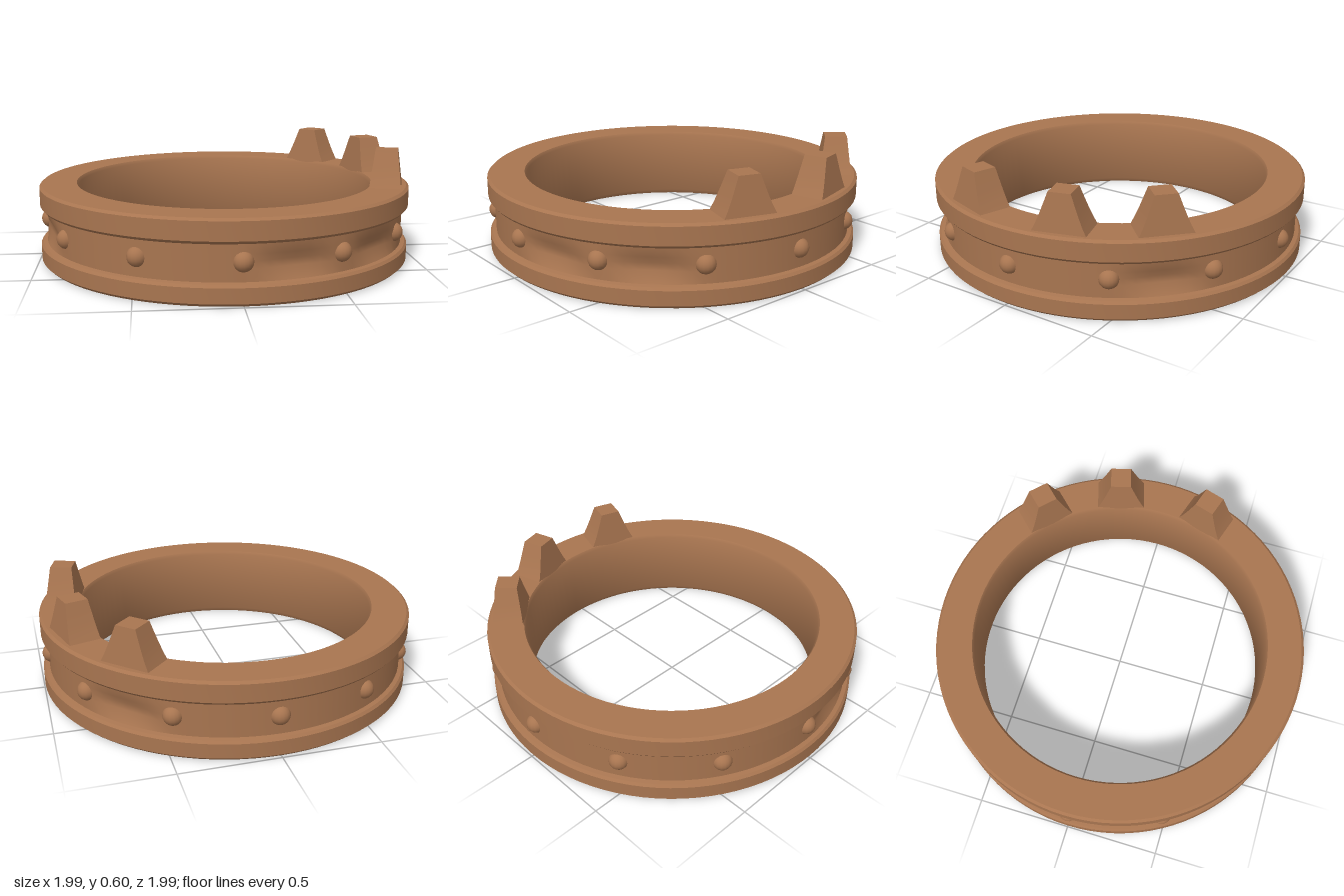
import * as THREE from 'three';
import { toCreasedNormals } from 'three/addons/utils/BufferGeometryUtils.js';

const rad = THREE.MathUtils.degToRad;

export function createModel() {
  const model = new THREE.Group();
  model.name = 'studdedRing';

  const copper = new THREE.MeshStandardMaterial({ color: 0xa87550 });
  copper.name = 'copper';

  const add = (name, geometry, parent = model) => {
    const mesh = new THREE.Mesh(geometry, copper);
    mesh.name = name;
    parent.add(mesh);
    return mesh;
  };

  // Band: two rims with a recessed channel between them (radius, height)
  const profile = [
    [0.79, 0.03], [0.805, 0.005], [0.98, 0.005], [0.996, 0.02],
    [0.996, 0.095], [0.985, 0.108], [0.963, 0.112], [0.963, 0.17],
    [0.963, 0.205], [0.963, 0.24], [0.963, 0.288], [0.985, 0.295],
    [0.996, 0.308], [0.996, 0.4], [0.982, 0.412], [0.8, 0.412],
    [0.79, 0.395], [0.79, 0.03],
  ].map(([r, y]) => new THREE.Vector2(r, y));
  const band = new THREE.LatheGeometry(profile, 96);

  // Shallow worn hollows in the channel, between some of the studs
  const hollows = [15, 45, 135, 285].map(rad);
  const pos = band.attributes.position;
  for (let i = 0; i < pos.count; i++) {
    const x = pos.getX(i), y = pos.getY(i), z = pos.getZ(i);
    const r = Math.hypot(x, z);
    if (r < 0.9 || y < 0.15 || y > 0.25) continue;
    const angle = Math.atan2(x, z);
    let depth = 0;
    for (const h of hollows) {
      const off = Math.abs(Math.atan2(Math.sin(angle - h), Math.cos(angle - h)));
      depth += 0.03 * Math.max(0, 1 - (off / rad(13)) ** 2);
    }
    if (y > 0.22) depth *= 0.3;
    pos.setX(i, x * (r - depth) / r);
    pos.setZ(i, z * (r - depth) / r);
  }
  add('band', toCreasedNormals(band, 0.6));

  // Twelve round studs in the channel
  const studs = new THREE.Group();
  studs.name = 'studs';
  model.add(studs);
  const studShape = new THREE.SphereGeometry(0.05, 16, 12);
  for (let i = 0; i < 12; i++) {
    const a = (i / 12) * Math.PI * 2;
    const stud = add('stud', studShape, studs);
    stud.position.set(0.947 * Math.sin(a), 0.205, 0.947 * Math.cos(a));
    stud.rotation.y = a;
  }

  // Tapered tooth: a box narrowing upwards, with a slight flare at the foot
  const toothShape = new THREE.BoxGeometry(1, 0.2, 1, 1, 4, 1);
  const tp = toothShape.attributes.position;
  for (let i = 0; i < tp.count; i++) {
    const t = tp.getY(i) / 0.2 + 0.5;
    const flare = 0.02 * (1 - t) ** 4;
    tp.setX(i, tp.getX(i) * (0.255 - 0.145 * t + flare));
    tp.setZ(i, tp.getZ(i) * (0.165 - 0.05 * t));
  }
  const toothGeometry = toCreasedNormals(toothShape, 0.5);

  // Three teeth surviving on the left side
  for (const degrees of [72.5, 106.3, 135.8]) {
    const holder = new THREE.Group();
    holder.name = 'toothHolder';
    holder.rotation.y = rad(degrees);
    model.add(holder);
    add('tooth', toothGeometry, holder).position.set(0, 0.5, 0.876);
  }

  return model;
}
